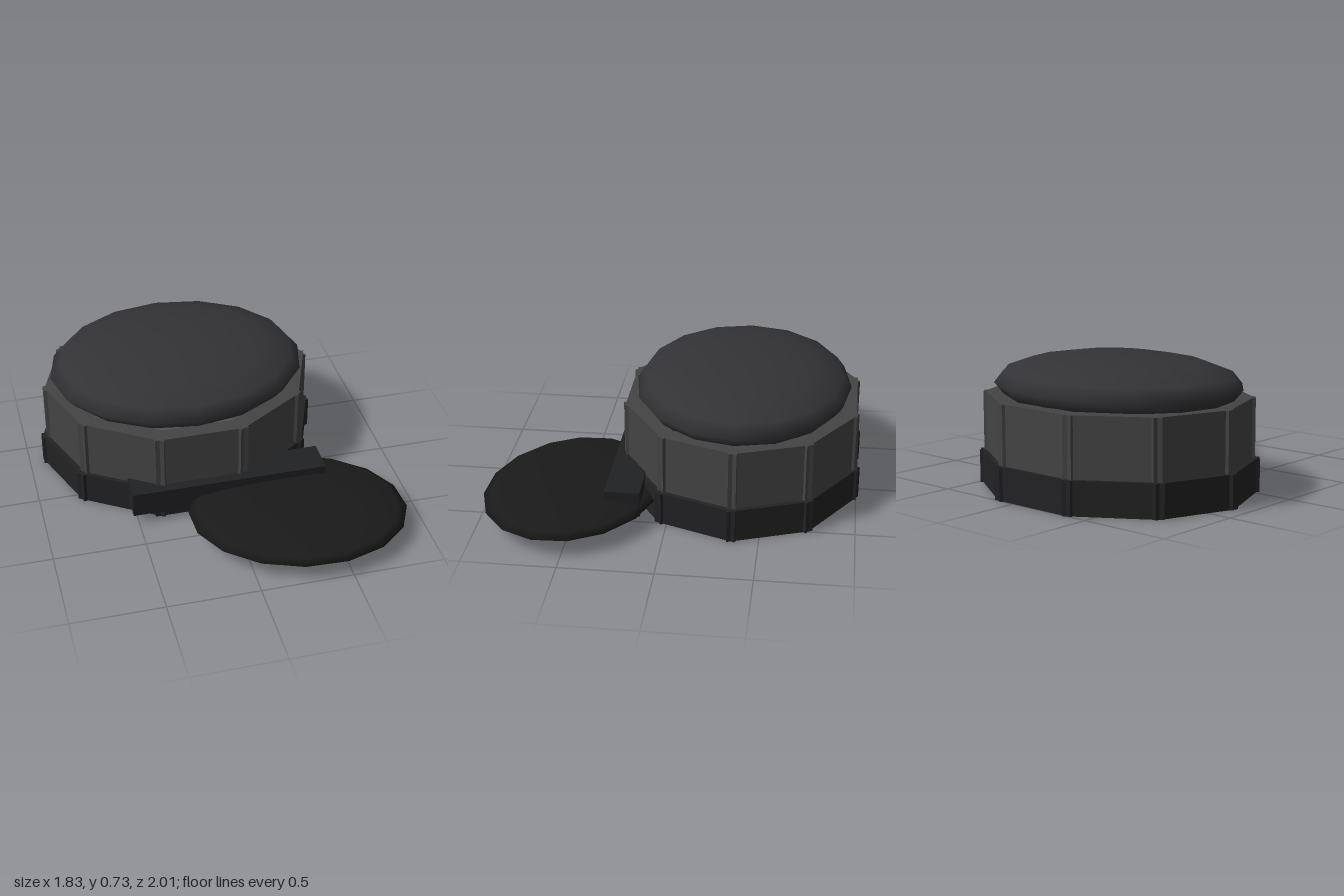
import * as THREE from 'three';

const mat = (color) => new THREE.MeshStandardMaterial({ color });

// Ten-sided ring of overlapping boxes (outer apothem 1), squashed into an oval
function panelRing(name, sx, sz, thickness, y0, y1, material) {
  const ring = new THREE.Group();
  ring.name = name;
  const geo = new THREE.BoxGeometry(0.72, y1 - y0, thickness);
  geo.translate(0, (y0 + y1) / 2, 1 - thickness / 2);
  for (let i = 0; i < 10; i++) {
    const panel = new THREE.Mesh(geo, material);
    panel.name = name + 'Panel';
    panel.rotation.y = (i * Math.PI) / 5;
    ring.add(panel);
  }
  ring.scale.set(sx, 1, sz);
  return ring;
}

// Flattened, smooth sphere
function pebble(name, rx, ry, rz, material) {
  const mesh = new THREE.Mesh(new THREE.SphereGeometry(1, 16, 8), material);
  mesh.name = name;
  mesh.scale.set(rx, ry, rz);
  return mesh;
}

export function createModel() {
  const model = new THREE.Group();

  // Hollow oval body: base band, upper wall and domed top
  const body = new THREE.Group();
  body.name = 'body';
  body.position.set(-0.135, 0, -0.355);
  body.add(panelRing('baseBand', 0.741, 0.645, 0.2, 0, 0.18, mat(0x222224)));
  body.add(panelRing('wall', 0.713, 0.627, 0.14, 0.18, 0.5, mat(0x444444)));
  const dome = pebble('dome', 0.712, 0.165, 0.592, mat(0x333336));
  dome.position.y = 0.56;
  body.add(dome);
  model.add(body);

  // Flat bar across the front
  const bar = new THREE.Mesh(new THREE.BoxGeometry(1.08, 0.14, 0.19), mat(0x202124));
  bar.name = 'frontBar';
  bar.position.set(0.01, 0.13, 0.232);
  model.add(bar);

  // Thin oval brim, turned slightly to one side
  const brim = pebble('brim', 0.592, 0.065, 0.47, mat(0x1a1a1a));
  brim.position.set(0.332, 0.1, 0.527);
  brim.rotation.y = -0.2;
  model.add(brim);

  return model;
}
